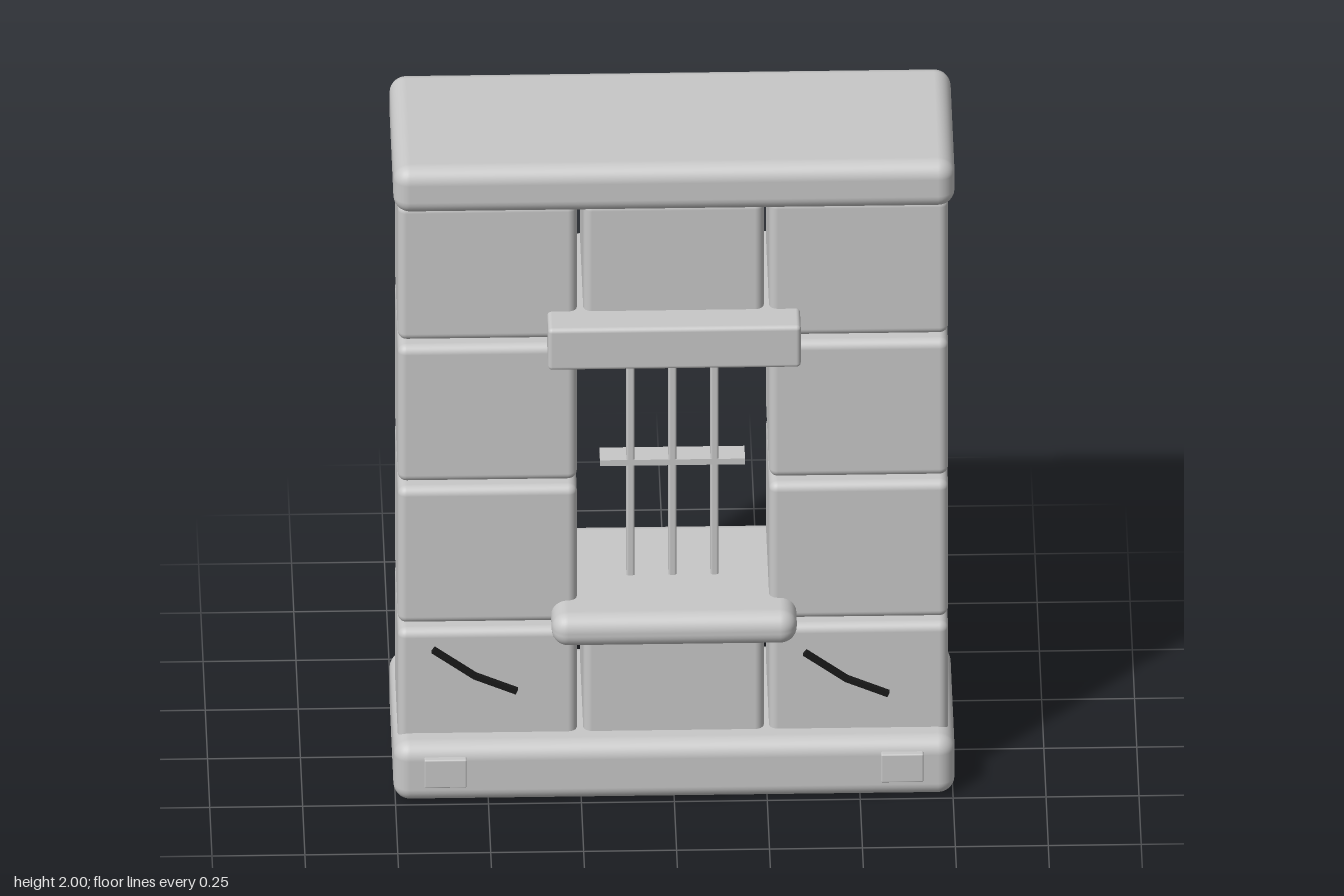
import * as THREE from 'three';
import { RoundedBoxGeometry } from 'three/addons/geometries/RoundedBoxGeometry.js';

export function createModel() {
  const model = new THREE.Group();
  model.name = 'barredWindowWall';

  const stone = new THREE.MeshStandardMaterial({ color: 0xc8c8c8 });
  stone.name = 'stone grey';
  const crackBlack = new THREE.MeshStandardMaterial({ color: 0x1a1a1a });
  crackBlack.name = 'crack black';

  // Box from its min and max corners, rounded when a radius is given
  function block(name, [x0, y0, z0], [x1, y1, z1], radius = 0) {
    const size = [x1 - x0, y1 - y0, z1 - z0];
    const geometry = radius
      ? new RoundedBoxGeometry(...size, 4, radius)
      : new THREE.BoxGeometry(...size);
    const mesh = new THREE.Mesh(geometry, stone);
    mesh.name = name;
    mesh.position.set((x0 + x1) / 2, (y0 + y1) / 2, (z0 + z1) / 2);
    model.add(mesh);
  }

  // Plinth and coping slab
  block('base', [-0.755, 0.005, -0.28], [0.755, 0.185, 0.25], 0.045);
  block('coping', [-0.755, 1.858, -0.28], [0.755, 2, 0.25], 0.045);

  // Stone courses; the middle column is open at the window
  const columns = [[-0.742, -0.26], [-0.243, 0.243], [0.257, 0.739]];
  for (let row = 0; row < 4; row++) {
    const y = 0.08 + row * 0.4465;
    columns.forEach(([x0, x1], col) => {
      if (col === 1 && (row === 1 || row === 2)) return;
      block('stoneBlock', [x0, y, -0.2], [x1, y + 0.428, 0.175], 0.024);
    });
  }

  // Window lintel and sill
  block('lintel', [-0.34, 1.38, -0.235], [0.34, 1.51, 0.27], 0.012);
  block('sill', [-0.33, 0.5, -0.23], [0.33, 0.598, 0.278], 0.045);

  // Window grille
  for (const x of [-0.113, 0, 0.113]) {
    block('windowBar', [x - 0.011, 0.56, -0.016], [x + 0.011, 1.33, 0.05], 0.006);
  }
  block('crossBar', [-0.195, 0.944, -0.016], [0.195, 0.962, 0.05]);

  // Small square studs on the base
  for (const x of [-0.616, 0.613]) {
    block('baseStud', [x - 0.057, 0.065, 0.23], [x + 0.057, 0.153, 0.265], 0.004);
  }

  // Cracks: thin strips joining points on the front face
  const cracks = [
    [[-0.645, 0.45], [-0.535, 0.368], [-0.425, 0.32]],
    [[0.355, 0.427], [0.465, 0.345], [0.575, 0.297]],
  ];
  for (const points of cracks) {
    const crack = new THREE.Group();
    crack.name = 'crack';
    for (let i = 0; i < points.length - 1; i++) {
      const [ax, ay] = points[i], [bx, by] = points[i + 1];
      const length = Math.hypot(bx - ax, by - ay) + 0.006;
      const strip = new THREE.Mesh(new THREE.BoxGeometry(length, 0.016, 0.018), crackBlack);
      strip.name = 'crackStrip';
      strip.position.set((ax + bx) / 2, (ay + by) / 2, 0.18);
      strip.rotation.z = Math.atan2(by - ay, bx - ax);
      crack.add(strip);
    }
    model.add(crack);
  }

  return model;
}
